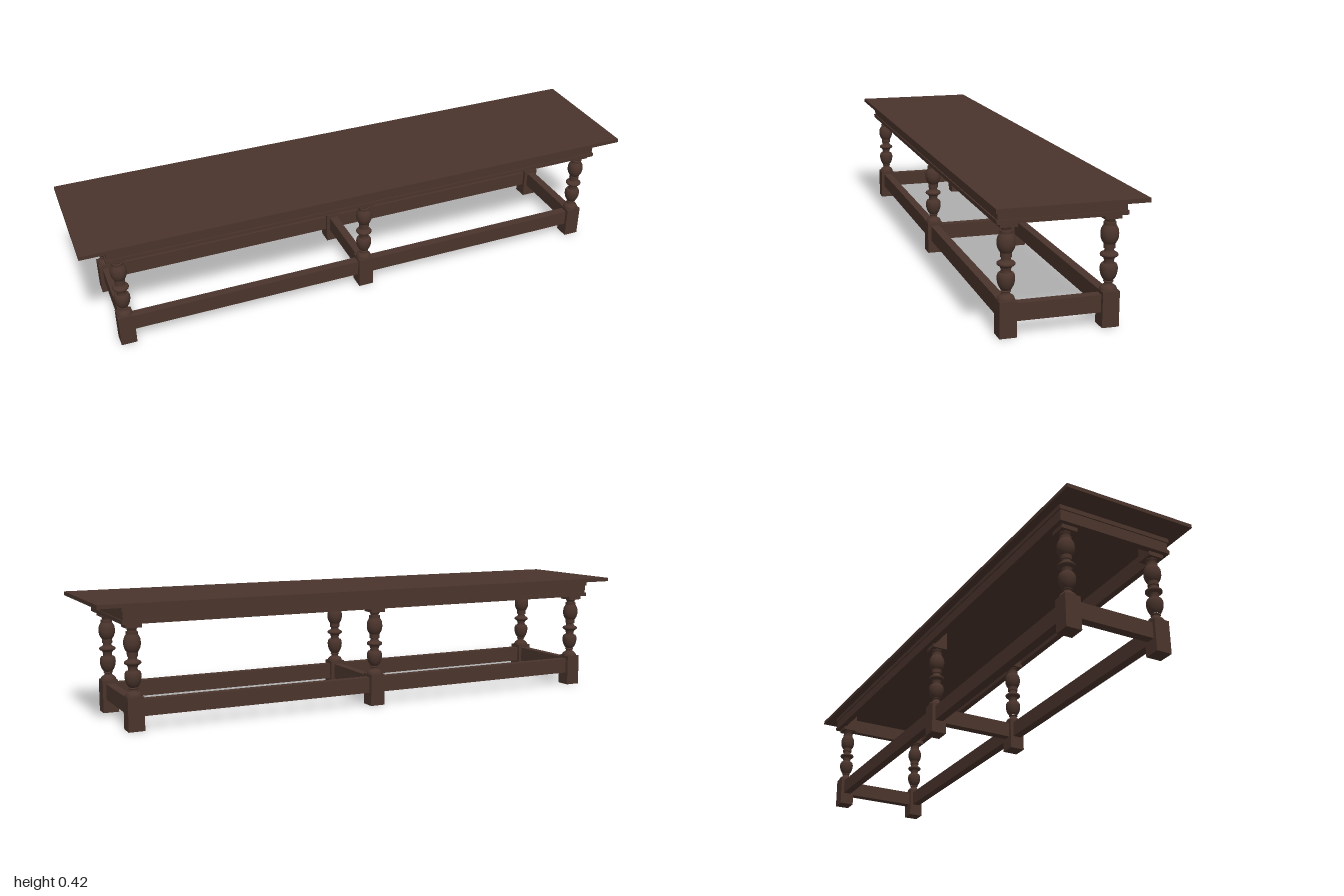
import * as THREE from 'three';

const wood = new THREE.MeshStandardMaterial({ color: 0x4a342c });
wood.name = 'dark oak';

function box(name, x0, x1, y0, y1, z0, z1) {
  const mesh = new THREE.Mesh(new THREE.BoxGeometry(x1 - x0, y1 - y0, z1 - z0), wood);
  mesh.position.set((x0 + x1) / 2, (y0 + y1) / 2, (z0 + z1) / 2);
  mesh.name = name;
  return mesh;
}

// Hollow rectangular frame lying flat between two heights
function frame(name, hx, hz, inset, y0, y1) {
  const rect = (Type, a, b) => new Type([[-a, -b], [a, -b], [a, b], [-a, b]].map(p => new THREE.Vector2(...p)));
  const shape = rect(THREE.Shape, hx, hz);
  shape.holes.push(rect(THREE.Path, hx - inset, hz - inset));
  const geo = new THREE.ExtrudeGeometry(shape, { depth: y1 - y0, bevelEnabled: false });
  geo.rotateX(-Math.PI / 2);
  const mesh = new THREE.Mesh(geo, wood);
  mesh.position.y = y0;
  mesh.name = name;
  return mesh;
}

// Turned sections from bottom to top, as [radius, height]; each break is a crisp edge
const turnings = [
  [[0.027, 0.112], [0.0255, 0.118], [0.022, 0.123], [0.016, 0.127]],
  [[0.016, 0.127], [0.0125, 0.130], [0.0125, 0.135]],
  [[0.0125, 0.135], [0.0155, 0.137], [0.0155, 0.139], [0.0125, 0.141]],
  [[0.0135, 0.141], [0.019, 0.148], [0.0245, 0.160], [0.027, 0.175], [0.026, 0.186], [0.0225, 0.193]],
  [[0.0225, 0.193], [0.0165, 0.194]],
  [[0.0165, 0.194], [0.0145, 0.202], [0.0175, 0.211]],
  [[0.0175, 0.211], [0.021, 0.214]],
  [[0.021, 0.214], [0.026, 0.217], [0.0275, 0.221], [0.026, 0.225], [0.021, 0.228]],
  [[0.021, 0.228], [0.0165, 0.230], [0.0145, 0.235], [0.0145, 0.240]],
  [[0.0145, 0.240], [0.0175, 0.241]],
  [[0.0175, 0.241], [0.0175, 0.255]],
  [[0.0175, 0.255], [0.023, 0.263], [0.0268, 0.274], [0.0277, 0.285], [0.026, 0.299], [0.019, 0.312]],
  [[0.019, 0.312], [0.019, 0.321]],
  [[0.019, 0.321], [0.0145, 0.322]],
  [[0.0145, 0.322], [0.0155, 0.329], [0.0185, 0.332]],
  [[0.0185, 0.332], [0.0185, 0.336]],
];

function leg(x, z) {
  const group = new THREE.Group();
  group.name = 'leg';
  const h = 0.027;
  group.add(box('footBlock', -h, h, 0, 0.112, -h, h), box('headBlock', -h, h, 0.335, 0.405, -h, h));
  for (const section of turnings) {
    const pts = section.map(p => new THREE.Vector2(...p));
    const profile = pts.length > 3 ? new THREE.SplineCurve(pts).getPoints(10) : pts;
    const mesh = new THREE.Mesh(new THREE.LatheGeometry(profile, 32), wood);
    mesh.name = 'turning';
    group.add(mesh);
  }
  group.position.set(x, 0, z);
  return group;
}

export function createModel() {
  const model = new THREE.Group();
  model.name = 'longTable';
  const legX = 0.875, legZ = 0.16, half = 0.027, t = 0.015;

  model.add(box('tableTop', -1, 1, 0.405, 0.418, -0.229, 0.229));

  // Apron with a moulding along its top and bottom edges
  model.add(frame('upperMoulding', 0.916, 0.202, 0.022, 0.390, 0.405));
  model.add(frame('apron', 0.912, 0.198, 0.018, 0.362, 0.390));
  model.add(frame('lowerMoulding', 0.916, 0.202, 0.022, 0.349, 0.362));

  // Three pairs of legs, each joined by a cross stretcher
  for (const x of [-legX, 0, legX]) {
    for (const z of [-legZ, legZ]) model.add(leg(x, z));
    model.add(box('crossStretcher', x - t, x + t, 0.046, 0.101, -legZ + half, legZ - half));
  }

  // Long stretchers between neighbouring legs
  for (const z of [-legZ, legZ]) {
    model.add(box('longStretcher', -legX + half, -half, 0.046, 0.101, z - t, z + t));
    model.add(box('longStretcher', half, legX - half, 0.046, 0.101, z - t, z + t));
  }
  return model;
}
